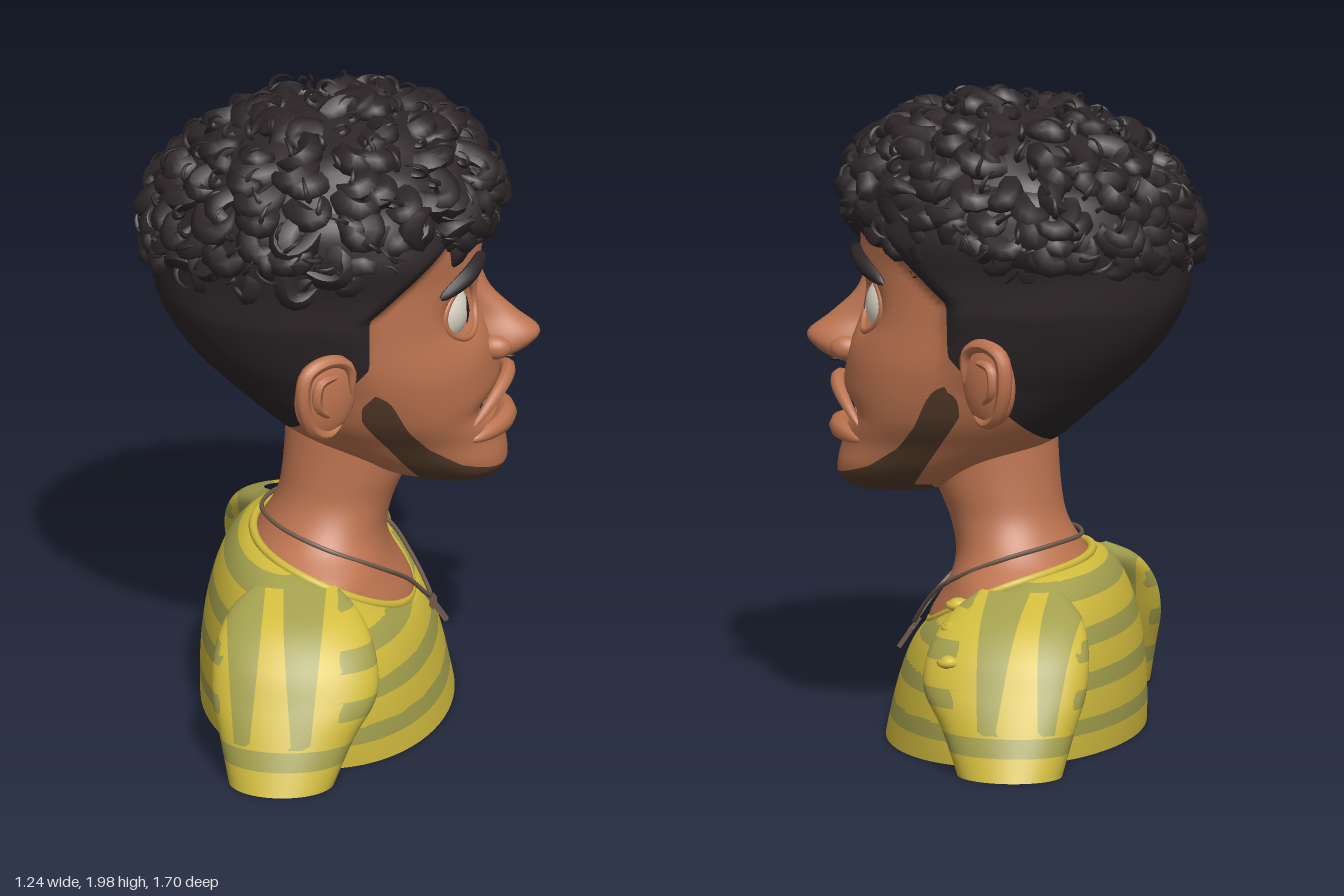
import * as THREE from 'three';
import { mergeGeometries } from 'three/addons/utils/BufferGeometryUtils.js';

const V = (x, y, z) => new THREE.Vector3(x, y, z);
const TAU = Math.PI * 2;
const clamp = THREE.MathUtils.clamp;
const mat = (name, color) => {
  const m = new THREE.MeshStandardMaterial({ color });
  m.name = name;
  return m;
};

// Seeded random numbers
let seed = 7;
const rnd = () => (seed = (seed * 16807) % 2147483647) / 2147483647;

// Grid surface from fn(u, v)
function surface(fn, nu, nv, wrap = true) {
  const cols = wrap ? nu : nu + 1, pos = [], index = [];
  for (let j = 0; j <= nv; j++)
    for (let i = 0; i < cols; i++) pos.push(...fn(i / nu, j / nv));
  for (let j = 0; j < nv; j++) for (let i = 0; i < nu; i++) {
    const a = j * cols + i, b = j * cols + (i + 1) % (wrap ? nu : nu + 2);
    index.push(a, a + cols, b, b, a + cols, b + cols);
  }
  const g = new THREE.BufferGeometry();
  g.setAttribute('position', new THREE.Float32BufferAttribute(pos, 3));
  g.setIndex(index);
  g.computeVertexNormals();
  return g;
}

// Cuts a geometry cleanly along each field's zero line; material k + 1 goes where field k is positive
function paint(geo, fields) {
  const { position, normal } = geo.attributes, ids = geo.index.array, parts = fields.map(() => []);
  const vert = i => ({ p: V().fromBufferAttribute(position, i), n: V().fromBufferAttribute(normal, i) });
  let rest = [];
  for (let i = 0; i < ids.length; i += 3) rest.push([vert(ids[i]), vert(ids[i + 1]), vert(ids[i + 2])]);
  const clip = (tri, f, sign) => {
    const out = [];
    tri.forEach((a, k) => {
      const b = tri[(k + 1) % 3], fa = f[k] * sign, fb = f[(k + 1) % 3] * sign;
      if (fa >= 0) out.push(a);
      if (fa * fb < 0) {
        const t = fa / (fa - fb);
        out.push({ p: a.p.clone().lerp(b.p, t), n: a.n.clone().lerp(b.n, t) });
      }
    });
    return out.slice(2).map((c, k) => [out[0], out[k + 1], c]);
  };
  fields.forEach((field, k) => {
    const next = [];
    for (const tri of rest) {
      const f = tri.map(v => field(v.p) || 1e-9);
      parts[k].push(...clip(tri, f, 1));
      next.push(...clip(tri, f, -1));
    }
    rest = next;
  });
  const g = new THREE.BufferGeometry(), pos = [], nor = [];
  [rest, ...parts].forEach((tris, k) => {
    g.addGroup(pos.length / 3, tris.length * 3, k);
    for (const v of tris.flat()) { pos.push(...v.p.toArray()); nor.push(...v.n.toArray()); }
  });
  g.setAttribute('position', new THREE.Float32BufferAttribute(pos, 3));
  g.setAttribute('normal', new THREE.Float32BufferAttribute(nor, 3));
  return g;
}

// Smooth interpolation between rows of numbers, t from 0 to 1
function sample(rows, t) {
  const f = Math.min(t, 0.99999) * (rows.length - 1), i = Math.floor(f), s = f - i;
  const r = k => rows[clamp(k, 0, rows.length - 1)];
  return rows[0].map((_, k) => {
    const a = r(i - 1)[k], b = r(i)[k], c = r(i + 1)[k], d = r(i + 2)[k];
    return b + 0.5 * s * (c - a + s * (2 * a - 5 * b + 4 * c - d + s * (3 * (b - c) + d - a)));
  });
}

// Tube along points whose radius follows profile(t)
function lock(pts, r, profile, seg = 10, sides = 5) {
  const curve = new THREE.CatmullRomCurve3(pts);
  const g = new THREE.TubeGeometry(curve, seg, r, sides), p = g.attributes.position;
  for (let i = 0; i <= seg; i++) {
    const c = curve.getPointAt(i / seg), k = profile(i / seg);
    for (let j = 0; j <= sides; j++) {
      const v = V().fromBufferAttribute(p, i * (sides + 1) + j).sub(c).multiplyScalar(k).add(c);
      p.setXYZ(i * (sides + 1) + j, v.x, v.y, v.z);
    }
  }
  g.computeVertexNormals();
  return g;
}
const spindle = t => 0.12 + 0.88 * Math.sqrt(Math.sin(Math.PI * clamp(t, 0.001, 0.999)));

// Head sections: y, back x, front x, half width
const HEAD = [[0.73, 0.30, 0.36, 0], [0.735, 0.2, 0.46, 0.1], [0.77, 0.1, 0.505, 0.17], [0.82, 0, 0.505, 0.215],
  [0.9, -0.16, 0.48, 0.26], [1, -0.28, 0.47, 0.32], [1.15, -0.44, 0.47, 0.365], [1.3, -0.54, 0.44, 0.38],
  [1.45, -0.57, 0.43, 0.39], [1.6, -0.54, 0.42, 0.41], [1.75, -0.4, 0.3, 0.34], [1.85, -0.05, 0.05, 0]];
// Sockets, brow ridge, muzzle and mouth hollow: y, z, spread y, spread z, depth
const BUMPS = [[1.33, 0.16, 0.08, 0.09, -0.085], [1.33, -0.16, 0.08, 0.09, -0.085], [1.46, 0.16, 0.04, 0.1, 0.015],
  [1.46, -0.16, 0.04, 0.1, 0.015], [1, 0, 0.12, 0.18, 0.025], [0.985, 0, 0.04, 0.16, -0.075]];
const bump = (y, z) => BUMPS.reduce((s, [by, bz, sy, sz, d]) =>
  s + d * Math.exp(-(((y - by) / sy) ** 2) - ((z - bz) / sz) ** 2), 0);
const NEXP = 2.3;
const hairFront = y => 0.105 + Math.max(0, y - 1.38) * 1.1;
function headPoint(u, v) {
  const [y, xb, xf, w] = sample(HEAD, v), cx = xb + (xf - xb) * 0.6, a = u * TAU;
  const c = Math.cos(a), s = Math.sin(a), e = 2 / NEXP;
  const z = w * Math.sign(s) * Math.abs(s) ** e;
  const x = cx + (c > 0 ? xf - cx : cx - xb) * Math.sign(c) * Math.abs(c) ** e;
  const thick = 1 + 0.13 * clamp((hairFront(y) + 0.02 - x) / 0.05, 0, 1) * clamp((y - 1.1) / 0.25, 0, 1);
  return [x + (c > 0 ? bump(y, z) * Math.min(1, c * 3) : 0), y, z * thick];
}
function faceX(y, z) {
  let lo = 0, hi = 1;
  for (let i = 0; i < 30; i++) { const m = (lo + hi) / 2; sample(HEAD, m)[0] < y ? lo = m : hi = m; }
  const [, xb, xf, w] = sample(HEAD, lo), cx = xb + (xf - xb) * 0.6;
  return cx + (xf - cx) * Math.max(0, 1 - Math.abs(z / w) ** NEXP) ** (1 / NEXP) + bump(y, z);
}
// Cropped hair and beard areas
const hairField = ({ x, y }) => Math.max(y - 1.64, Math.min(y - 0.9 - (x + 0.17) * 1.15, hairFront(y) - x));
const BEARD_TOP = [[0.08, 1.07], [0.12, 1.12], [0.17, 1.09], [0.22, 0.98], [0.28, 0.9], [0.38, 0.83], [0.5, 0.785], [0.6, 0.77]];
const beardTop = x => {
  const i = clamp(BEARD_TOP.findIndex(p => p[0] > x), 1, BEARD_TOP.length - 1);
  const [a, b] = [BEARD_TOP[i - 1], BEARD_TOP[i]];
  return a[1] + (b[1] - a[1]) * (x - a[0]) / (b[0] - a[0]);
};
const beardField = ({ x, y }) => Math.max(Math.min(beardTop(x) - y, y - 1 + (x - 0.09) * 1.45, x - 0.08), Math.min(0.765 - y, x - 0.2));

// Shirt: neckline ring, hem ring and a bezier between them
const neckline = a => V(-0.02 + 0.24 * Math.cos(a), 0.48 - 0.105 * Math.cos(a) - 0.045 * Math.cos(a) ** 2, 0.355 * Math.sin(a));
function shirtPoint(u, v) {
  const a = u * TAU, c = Math.cos(a), s = Math.sin(a);
  const N = neckline(a), B = V(-0.035 + 0.385 * c, 0, 0.62 * s);
  const k = 0.4 + 0.5 * s * s + 0.3 * Math.max(0, -c) ** 2;
  const C1 = N.clone().lerp(B, 0.75 + 0.33 * Math.min(1, s * s + Math.max(0, -c))).setY(N.y * 0.5);
  const C2 = N.clone().lerp(B, k).setY(N.y * 0.96);
  return new THREE.CubicBezierCurve3(B, C1, C2, N).getPoint(v).toArray();
}
const stripe = ({ y }) => 0.028 - Math.abs((y % 0.13) - 0.098);
// Stripes turn downward over the outside of the sleeves
const sleeveStripe = p => p.x < 0.01 && p.x > -0.34 && p.y > 0.14
  ? Math.max(0.015 + p.y * 0.1 - Math.abs(p.x + 0.09), 0.01 + p.y * 0.1 - Math.abs(p.x + 0.27)) : stripe(p);
// Sleeve sections: y, centre x, half depth, centre z, half width
const SLEEVE = [[0, -0.15, 0.16, 0.72, 0.13], [0.13, -0.135, 0.205, 0.665, 0.13], [0.24, -0.115, 0.25, 0.61, 0.13],
  [0.35, -0.115, 0.245, 0.545, 0.13], [0.44, -0.12, 0.2, 0.455, 0.115], [0.5, -0.12, 0.12, 0.37, 0.04]];
const NECK = [[0.28, -0.32, 0.235, 0.36], [0.36, -0.31, 0.222, 0.37], [0.46, -0.3, 0.165, 0.365], [0.55, -0.245, 0.145, 0.25],
  [0.65, -0.19, 0.165, 0.19], [0.76, -0.17, 0.21, 0.18], [0.92, -0.16, 0.26, 0.18]];
const ringRow = rows => (u, v) => {
  const [y, xb, xf, w] = sample(rows, v), a = u * TAU;
  return [(xb + xf) / 2 + (xf - xb) / 2 * Math.cos(a), y, w * Math.sin(a)];
};
const sleevePoint = (u, v) => {
  const [y, cx, rx, cz, rz] = sample(SLEEVE, v), a = u * TAU;
  return [cx + rx * Math.cos(a), y, cz + rz * Math.sin(a)];
};

export function createModel() {
  const root = new THREE.Group();
  const skin = mat('skin', 0xbd7450), hair = mat('hair', 0x2d2628), beard = mat('beard', 0x553c2a);
  const yellow = mat('shirt yellow', 0xd2bc3e), olive = mat('shirt olive', 0xa3a04e);
  const white = mat('eye white', 0xdcd6c8), dark = mat('pupil and mouth', 0x2a1f1e);
  const toothMat = mat('teeth', 0x99968a), metal = mat('necklace metal', 0x6e5a4a);
  const add = (name, geo, m, parent = root) => {
    const mesh = new THREE.Mesh(geo, m);
    mesh.name = name;
    parent.add(mesh);
  };
  const ball = (r, sx, sy, sz, x, y, z) => new THREE.SphereGeometry(r, 20, 14).scale(sx, sy, sz).translate(x, y, z);
  const loop = (pts, r, seg, sides) => new THREE.TubeGeometry(new THREE.CatmullRomCurve3(pts, true), seg, r, sides, true);

  // Shirt with hem cap, collar, sleeves and shoulder buttons
  add('shirt', paint(surface(shirtPoint, 72, 48), [stripe]), [yellow, olive]);
  add('shirtBase', surface((u, v) => { const p = shirtPoint(u, 0); return [p[0] * v, 0, p[2] * v]; }, 64, 2), yellow);
  add('collar', loop(Array.from({ length: 32 }, (_, i) => neckline(i / 32 * TAU)), 0.014, 80, 8), yellow);
  for (const s of [1, -1]) {
    const g = new THREE.Group();
    g.name = s > 0 ? 'leftSleeve' : 'rightSleeve';
    g.scale.z = s;
    add('sleeve', paint(surface(sleevePoint, 48, 40), [sleeveStripe]), [yellow, olive], g);
    add('cuff', surface((u, v) => { const p = sleevePoint(u, 0); return [-0.15 + (p[0] + 0.15) * v, 0, 0.72 + (p[2] - 0.72) * v]; }, 40, 1), yellow, g);
    root.add(g);
  }
  for (const [x, y, z] of [[0.07, 0.45, -0.39], [0.06, 0.405, -0.52], [0.05, 0.325, -0.645]]) {
    add('button', ball(0.032, 1, 0.7, 1, x, y, z), yellow);
    add('buttonRim', new THREE.TorusGeometry(0.03, 0.01, 6, 16).rotateX(Math.PI / 2).translate(x, y, z), yellow);
  }

  // Neck, chain and pendant
  add('neck', surface(ringRow(NECK), 48, 30), skin);
  const half = [V(0.275, 0.315, 0.015), V(0.215, 0.405, 0.1), V(0.135, 0.48, 0.195), V(-0.03, 0.56, 0.245), V(-0.17, 0.595, 0.16)];
  add('chain', loop([...half, V(-0.235, 0.6, 0), ...half.slice().reverse().map(p => V(p.x, p.y, -p.z))], 0.007, 90, 6), metal);
  const cross = new THREE.Group();
  cross.name = 'pendant';
  cross.position.set(0.295, 0.275, 0);
  cross.rotation.z = 0.6;
  add('upright', new THREE.BoxGeometry(0.014, 0.11, 0.018), metal, cross);
  add('bar', new THREE.BoxGeometry(0.014, 0.018, 0.08).translate(0, 0.018, 0), metal, cross);
  root.add(cross);

  // Head
  add('head', paint(surface(headPoint, 128, 96), [hairField, beardField]), [skin, hair, beard]);
  const nose = [[1.1, 0.4, 0.43, 0.03], [1.125, 0.4, 0.53, 0.07], [1.16, 0.38, 0.59, 0.08], [1.2, 0.36, 0.607, 0.07],
    [1.26, 0.36, 0.535, 0.048], [1.34, 0.36, 0.455, 0.042], [1.44, 0.36, 0.42, 0.035]];
  add('nose', surface(ringRow(nose), 28, 28), skin);
  for (const s of [1, -1]) {
    add('nostril', ball(0.045, 1.15, 0.85, 0.85, 0.475, 1.162, s * 0.07), skin);
    add('nostrilHole', ball(0.018, 1.2, 0.4, 0.8, 0.515, 1.124, s * 0.04), dark);

    // Eyes
    add('eyeball', ball(0.108, 1, 1, 1, 0.29, 1.325, s * 0.163), white);
    const iris = new THREE.SphereGeometry(0.11, 20, 6, 0, TAU, 0, 0.43).rotateZ(-Math.PI / 2).rotateY(s * 0.09);
    add('iris', iris.translate(0.29, 1.32, s * 0.163), dark);
    const rim = Array.from({ length: 20 }, (_, i) => {
      const a = i / 20 * TAU, y = 1.325 + 0.086 * Math.sin(a), z = s * 0.163 + 0.102 * Math.cos(a);
      return V(Math.max(faceX(y, z), 0.32), y, z);
    });
    add('eyelid', loop(rim, 0.01, 48, 8), skin);
    const brow = [[1.475, 0.085], [1.482, 0.14], [1.463, 0.21], [1.415, 0.3]];
    add('eyebrow', lock(brow.map(([y, z]) => V(faceX(y, z) + 0.006, y, s * z)), 0.029, spindle, 20, 8), hair);

    // Ears
    const ear = new THREE.Group(), inner = new THREE.Group();
    ear.name = s > 0 ? 'leftEar' : 'rightEar';
    inner.position.set(-0.02, 1.14, 0.425);
    inner.rotation.set(0, 0.64, 0);
    add('earBody', ball(0.1, 1.1, 1.3, 0.4, 0, 0, -0.015), skin, inner);
    const helix = [V(0.08, 0.0, 0.015), V(0.07, 0.09, 0.015), V(0, 0.125, 0.015), V(-0.085, 0.1, 0.015),
      V(-0.1, 0.01, 0.015), V(-0.06, -0.09, 0.01), V(0, -0.12, 0.005), V(0.05, -0.1, 0)];
    add('earRim', lock(helix, 0.024, spindle, 32, 8), skin, inner);
    add('earFold', lock([V(0.03, 0.07, 0.015), V(-0.04, 0.06, 0.018), V(-0.05, -0.01, 0.018), V(0, -0.06, 0.015)], 0.018, spindle, 16, 6), skin, inner);
    ear.add(inner);
    ear.scale.z = s;
    root.add(ear);
  }

  // Mouth: dark inside, two rows of teeth and lips
  const upper = z => 1.045 - 2.9 * z * z, lower = z => 0.928 - 0.3 * z * z, mid = z => (upper(z) + lower(z)) / 2;
  const patch = (z0, z1, lo, hi, x0, n) => surface((u, v) => {
    const z = z0 + (z1 - z0) * u;
    return [x0 - 1.2 * z * z, lo(z) + (hi(z) - lo(z)) * v, z];
  }, n, 2, false);
  add('mouthInside', patch(-0.19, 0.19, lower, upper, 0.447, 24), dark);
  for (let i = -4; i < 4; i++) {
    const z0 = i * 0.042 + 0.0015, z1 = z0 + 0.039;
    add('upperTooth', patch(z0, z1, z => mid(z) + 0.002, upper, 0.457, 3), toothMat);
    add('lowerTooth', patch(z0, z1, lower, z => mid(z) - 0.002, 0.457, 3), toothMat);
  }
  const lip = (y, x0) => Array.from({ length: 11 }, (_, i) => {
    const z = (i - 5) * 0.039;
    return V(x0 - 2.6 * z * z, y(z), z);
  });
  add('upperLip', lock(lip(z => upper(z) + 0.014, 0.512), 0.023, spindle, 32, 8), skin);
  add('lowerLip', lock(lip(z => lower(z) - 0.012, 0.505), 0.034, spindle, 32, 8), skin);

  // Curly hair: lumpy cap covered with broad swirling clumps and thin loose curls
  const curls = new THREE.Group();
  curls.name = 'curlyHair';
  curls.position.set(-0.05, 1.6, 0);
  curls.rotation.z = 0.15;
  const R = V(0.52, 0.315, 0.45);
  const onCap = d => {
    const p = d.clone().multiply(R);
    if (p.y < 0) p.y *= 0.6;
    return p.multiplyScalar(0.98 + 0.03 * Math.sin(d.x * 9) * Math.sin(d.y * 8 + 1) * Math.sin(d.z * 9 + 2));
  };
  const cap = new THREE.SphereGeometry(1, 64, 40), cp = cap.attributes.position;
  for (let i = 0; i < cp.count; i++) {
    const p = onCap(V().fromBufferAttribute(cp, i));
    cp.setXYZ(i, p.x, p.y, p.z);
  }
  cap.computeVertexNormals();
  add('hairCap', cap, hair, curls);
  const locks = [], count = 420;
  for (let i = 0; i < count; i++) {
    const y = 1 - 1.55 * (i + 0.5) / count, r = Math.sqrt(1 - y * y), a = i * 2.39996;
    const d = V(r * Math.cos(a), y, r * Math.sin(a)), p = onCap(d), n = d.clone().divide(R).normalize();
    const fine = i % 2 === 0;
    const t = V((rnd() - 0.5) * 0.8, -0.3 * rnd(), (rnd() - 0.5) * 0.8).addScaledVector(V(d.x, 0, d.z), 0.5);
    t.addScaledVector(n, -t.dot(n)).normalize();
    const b = n.clone().cross(t).multiplyScalar(rnd() < 0.5 ? 1 : -1);
    const size = (fine ? 0.03 : 0.062) * (0.75 + 0.6 * rnd()), turn = fine ? 4.4 : 2.8;
    const pts = Array.from({ length: 7 }, (_, k) => {
      const f = k / 6 * turn;
      return p.clone().addScaledVector(t, size * Math.sin(f) * (fine ? 1 : 1.3))
        .addScaledVector(fine ? n : b, size * (1 - Math.cos(f)) * 0.75)
        .addScaledVector(n, fine ? 0.005 : 0.022 * Math.sin(k / 6 * Math.PI) - 0.01);
    });
    locks.push(lock(pts, fine ? 0.01 : 0.05, q => (fine ? 1.05 : 0.7 + 0.9 * q) - (fine ? 0.9 : 1.5) * q * q, 10, fine ? 4 : 6));
  }
  add('curls', mergeGeometries(locks), hair, curls);
  root.add(curls);
  return root;
}
